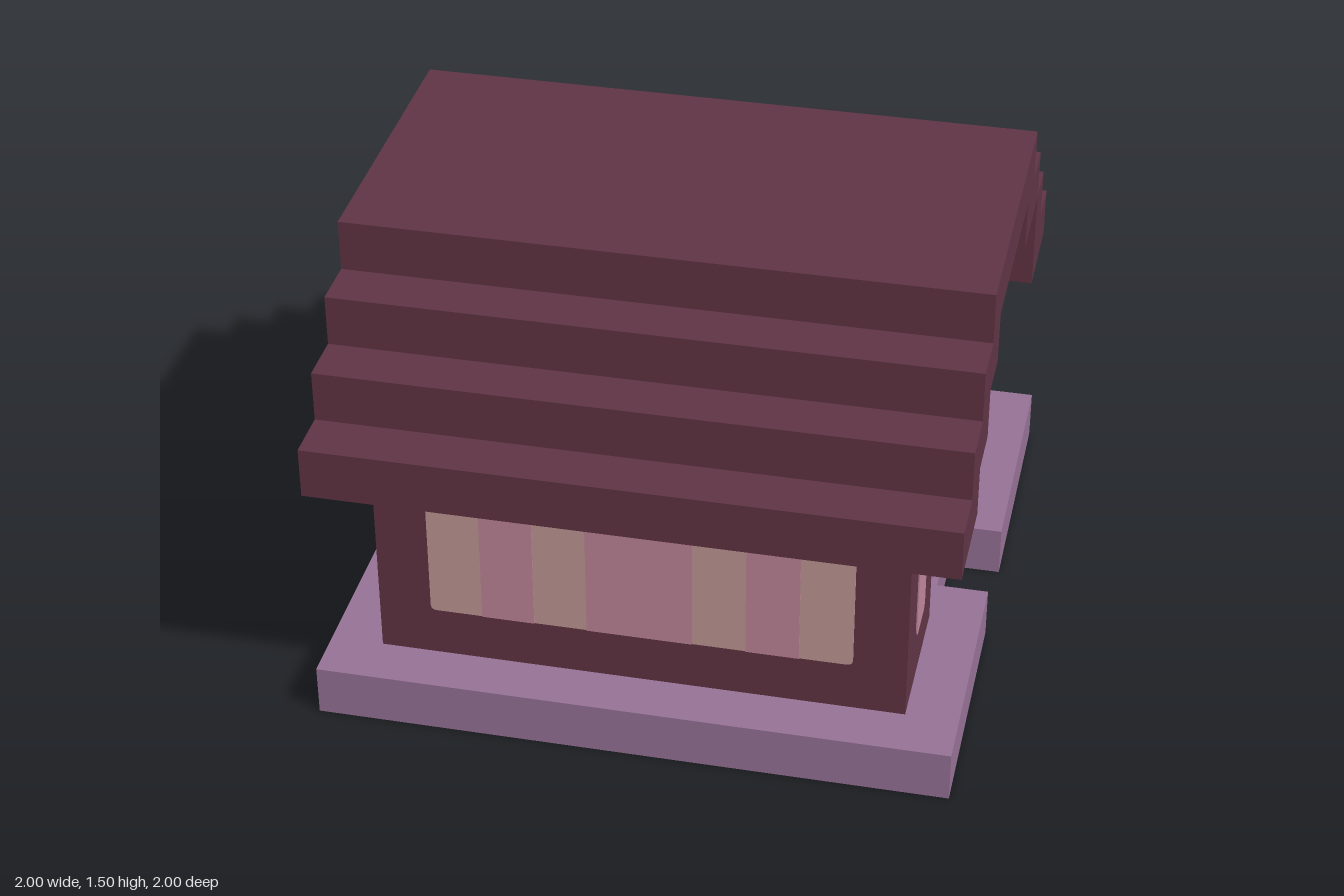
import * as THREE from 'three';

const U = 1 / 6; // block size: the house is laid out on a 12 x 9 x 12 grid

const mat = (name, color) => {
  const m = new THREE.MeshStandardMaterial({ color });
  m.name = name;
  return m;
};

export function createModel() {
  const maroon = mat('maroon', 0x603444);
  const purple = mat('purple', 0x967296);
  const tan = mat('tan', 0xc09994);
  const pink = mat('pink', 0xbf869a);

  const house = new THREE.Group();
  house.name = 'house';

  const add = (parent, name, geometry, material) => {
    const mesh = new THREE.Mesh(geometry, material);
    mesh.name = name;
    parent.add(mesh);
    return mesh;
  };

  // Box between two grid corners
  const block = (parent, name, material, [x0, x1], [y0, y1], [z0, z1]) => {
    const mesh = add(parent, name,
      new THREE.BoxGeometry((x1 - x0) * U, (y1 - y0) * U, (z1 - z0) * U), material);
    mesh.position.set((x0 + x1) / 2 * U, (y0 + y1) / 2 * U, (z0 + z1) / 2 * U);
    return mesh;
  };

  const group = (name) => {
    const g = new THREE.Group();
    g.name = name;
    house.add(g);
    return g;
  };

  // Thin upright plate facing +z; bottom and top corner radii are separate
  const plate = (parent, name, material, [x0, x1], [y0, y1], rb, rt, thick = 0.004) => {
    const [l, r, b, t] = [x0 * U, x1 * U, y0 * U, y1 * U];
    const s = new THREE.Shape();
    s.moveTo(l + rb, b);
    s.lineTo(r - rb, b);
    if (rb) s.quadraticCurveTo(r, b, r, b + rb);
    s.lineTo(r, t - rt);
    if (rt) s.quadraticCurveTo(r, t, r - rt, t);
    s.lineTo(l + rt, t);
    if (rt) s.quadraticCurveTo(l, t, l, t - rt);
    s.lineTo(l, b + rb);
    if (rb) s.quadraticCurveTo(l, b, l + rb, b);
    return add(parent, name, new THREE.ExtrudeGeometry(s,
      { depth: thick, bevelEnabled: false, curveSegments: 4 }), material);
  };

  // Base slab with a doorway notch in the +x edge
  const outline = [[-6, -6], [6, -6], [6, -1], [5, -1], [5, 1], [6, 1], [6, 6], [-6, 6]];
  const slab = new THREE.ExtrudeGeometry(
    new THREE.Shape(outline.map(([x, z]) => new THREE.Vector2(x * U, z * U))),
    { depth: U, bevelEnabled: false });
  slab.rotateX(-Math.PI / 2);
  add(house, 'base', slab, purple);

  // Walls, with a recessed entrance between two wings on the +x side
  const walls = group('walls');
  block(walls, 'mainWalls', maroon, [-5, 4], [1, 6], [-5, 5]);
  block(walls, 'frontWing', maroon, [4, 5], [1, 6], [2, 5]);
  block(walls, 'backWing', maroon, [4, 5], [1, 6], [-5, -2]);

  // Gable infill with a niche above the entrance
  const gable = group('gable');
  block(gable, 'gableCore', tan, [-5, 4], [6, 7], [-4, 4]);
  block(gable, 'frontJamb', tan, [4, 5], [6, 7], [1, 4]);
  block(gable, 'backJamb', tan, [4, 5], [6, 7], [-4, -1]);
  block(gable, 'gableTop', tan, [-5, 5], [7, 8], [-2, 2]);

  // Stepped roof: three courses on each side and a flat cap
  const roof = group('roof');
  for (let i = 0; i < 3; i++) {
    const y = [5 + i, 6 + i];
    block(roof, 'frontCourse', maroon, [-6, 6], y, [4 - i, 6 - i]);
    if (i === 1) {
      // one inner block is missing at the entrance end
      block(roof, 'backCourse', maroon, [-6, 5], y, [-5, -3]);
      block(roof, 'backCourseEnd', maroon, [5, 6], y, [-5, -4]);
    } else {
      block(roof, 'backCourse', maroon, [-6, 6], y, [i - 6, i - 4]);
    }
  }
  block(roof, 'roofCap', maroon, [-6, 6], [8, 9], [-3, 3]);

  // Wide striped windows on the front, back and left-over end wall
  const sides = [['frontWindow', 0, 0], ['backWindow', Math.PI, 0], ['endWindow', -Math.PI / 2, 0.02]];
  for (const [name, angle, topRadius] of sides) {
    const w = group(name);
    const face = new THREE.Group();
    face.name = 'windowPanel';
    face.position.z = 5 * U;
    w.add(face);
    plate(face, 'curtain', tan, [-4, 4], [2, 5], 0.02, topRadius);
    for (const span of [[-3, -2], [-1, 1], [2, 3]]) {
      plate(face, 'pane', pink, span, [2, 5], 0, 0, 0.007);
    }
    w.rotation.y = angle;
  }

  // Entrance side: narrow windows on the wings, door and transom in the recess
  const entrance = group('entrance');
  entrance.rotation.y = Math.PI / 2;
  for (const s of [-3.5, 3.5]) {
    plate(entrance, 'sideWindow', pink, [s - 0.5, s + 0.5], [2, 5], 0.035, 0.035)
      .position.z = 5 * U;
  }
  plate(entrance, 'door', tan, [-1, 1], [1, 3], 0, 0.02).position.z = 4 * U;
  plate(entrance, 'transomWindow', pink, [-1, 1], [4, 5], 0.025, 0.025).position.z = 4 * U;

  return house;
}
